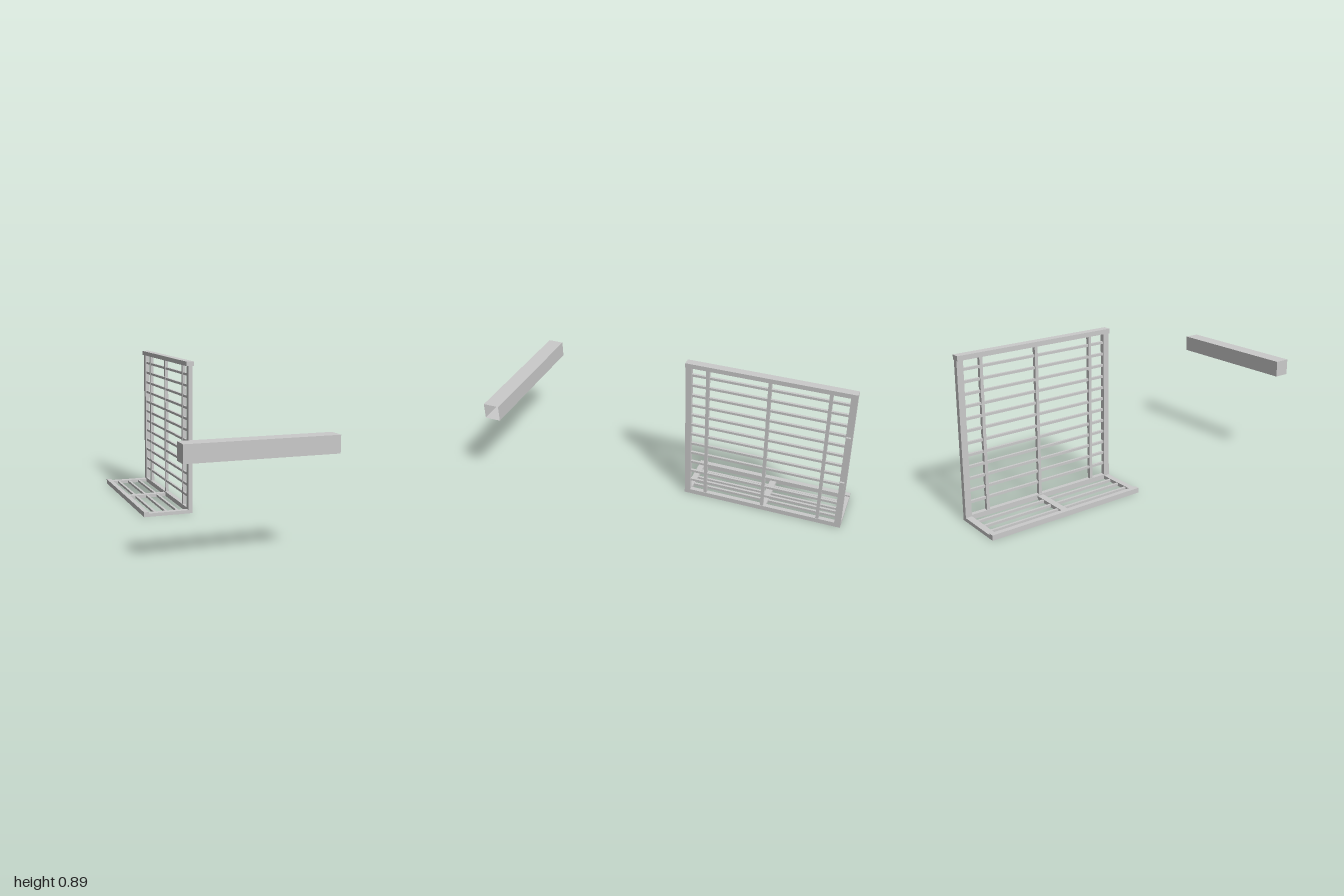
import * as THREE from 'three';

const material = new THREE.MeshStandardMaterial({ color: 0xcccccc, flatShading: true });

// Box given by its extents along each axis
function bar(parent, name, [x0, x1], [y0, y1], [z0, z1]) {
  const mesh = new THREE.Mesh(new THREE.BoxGeometry(x1 - x0, y1 - y0, z1 - z0), material);
  mesh.position.set((x0 + x1) / 2, (y0 + y1) / 2, (z0 + z1) / 2);
  mesh.name = name;
  parent.add(mesh);
  return mesh;
}

const around = (centre, size) => [centre - size / 2, centre + size / 2];

const BACK = -1, FRONT = -0.062;
const WALL_X = [-0.014, 0.012];
const backEnd = [BACK, BACK + 0.036];
const frontEnd = [FRONT - 0.034, FRONT];
const inner = [backEnd[1], frontEnd[0]];

function createGate() {
  const gate = new THREE.Group();
  gate.name = 'gate';

  // Outer frame
  bar(gate, 'topRail', [-0.024, 0.021], [0.867, 0.893], [BACK, FRONT]);
  bar(gate, 'bottomRail', WALL_X, [0, 0.028], inner);
  bar(gate, 'backPost', WALL_X, [0, 0.867], backEnd);
  bar(gate, 'frontPost', WALL_X, [0, 0.867], frontEnd);

  // Upright bars, thicker than the rungs
  for (const z of [-0.188, -0.535, -0.863]) {
    bar(gate, 'uprightBar', around(-0.001, 0.02), [0.028, 0.867], around(z, 0.018));
  }

  // Evenly spaced rungs
  for (let i = 0; i < 12; i++) {
    bar(gate, 'rung', around(-0.001, 0.014), around(0.098 + i * 0.0652, 0.014), inner);
  }

  // Hinge plates on the back post
  for (const y of [0.303, 0.601]) {
    bar(gate, 'hingePlate', [0.012, 0.024], around(y, 0.045), [-0.992, -0.967]);
  }
  return gate;
}

function createTray() {
  const tray = new THREE.Group();
  tray.name = 'tray';
  const span = [-0.257, -0.014];

  // Raised outer edge and three cross rails
  bar(tray, 'outerRail', [-0.285, -0.257], [0, 0.029], [BACK, FRONT]);
  bar(tray, 'backRail', span, [0, 0.02], backEnd);
  bar(tray, 'frontRail', span, [0, 0.02], frontEnd);
  bar(tray, 'middleRail', span, [0, 0.02], around(-0.537, 0.038));

  // Long slim slats
  for (const x of [-0.207, -0.138, -0.069]) {
    bar(tray, 'slat', around(x, 0.014), [0.003, 0.017], inner);
  }
  return tray;
}

export function createModel() {
  const model = new THREE.Group();
  model.add(createGate(), createTray());

  // Separate hollow beam, open at its left end
  const beam = bar(model, 'beam', [-0.398, 0.396], [0.526, 0.617], [0.91, 1]);
  beam.geometry.setIndex(Array.from(beam.geometry.index.array).slice(6));
  beam.geometry.clearGroups();
  beam.material = material.clone();
  beam.material.side = THREE.DoubleSide;
  return model;
}
